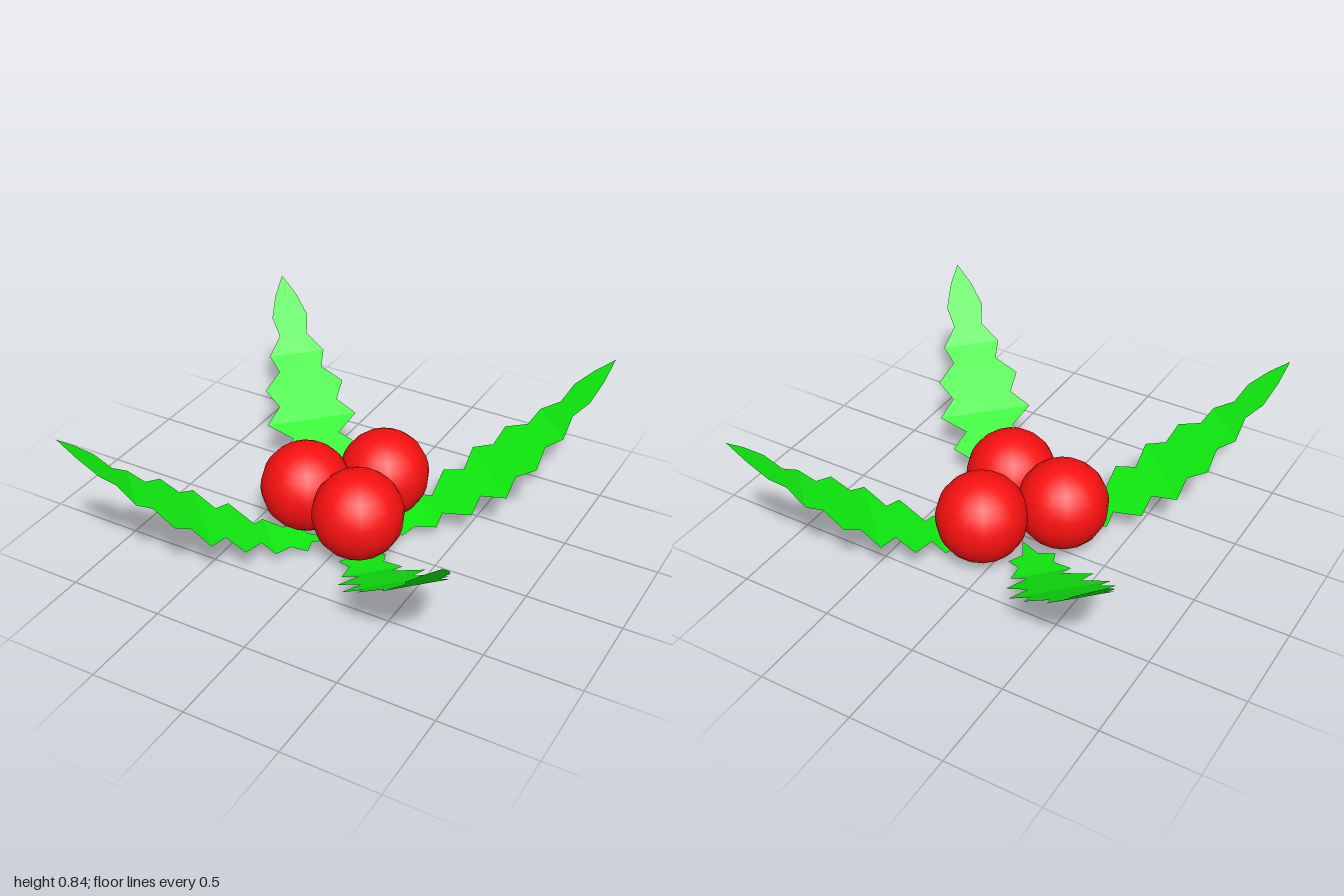
import * as THREE from 'three';

const green = new THREE.MeshStandardMaterial({ color: 0x10f010, side: THREE.DoubleSide, flatShading: true });
const red = new THREE.MeshStandardMaterial({ color: 0xf81010 });

// Half outline of a leaf: [distance from the middle, half width]
const outline = [
  [0.057, 0], [0.21, 0.04], [0.25, 0.124], [0.33, 0.09], [0.424, 0.156],
  [0.48, 0.085], [0.587, 0.22], [0.668, 0.13], [0.76, 0.251],
  [0.84, 0.163], [0.926, 0.22], [1.01, 0.12], [1.09, 0.155],
  [1.167, 0.078], [1.245, 0.1], [1.333, 0.06], [1.414, 0],
];

// Bends of the leaf: [distance from the middle, height]
const bends = [[0.057, 0], [0.424, 0.088], [0.76, 0.27], [1.09, 0.51], [1.414, 0.84]];

function heightAt(s) {
  const i = Math.max(1, bends.findIndex(([d]) => d >= s));
  const [s0, y0] = bends[i - 1], [s1, y1] = bends[i];
  return y0 + (y1 - y0) * (s - s0) / (s1 - s0);
}

// Thin serrated strip running along +x, bent upwards in flat panels
function leafGeometry() {
  const positions = [], index = [];
  outline.forEach(([s, w], i) => {
    const y = heightAt(s);
    positions.push(s, y, -w, s, y, w);
    if (i > 0) {
      const a = 2 * (i - 1);
      if (i > 1) index.push(a, a + 1, a + 2);
      if (i < outline.length - 1) index.push(a + 1, a + 3, a + 2);
    }
  });
  const geometry = new THREE.BufferGeometry();
  geometry.setAttribute('position', new THREE.Float32BufferAttribute(positions, 3));
  geometry.setIndex(index);
  geometry.computeVertexNormals();
  return geometry;
}

export function createModel() {
  const model = new THREE.Group();
  model.name = 'hollySprig';

  // Four leaves on the diagonals
  const leaf = leafGeometry();
  for (let i = 0; i < 4; i++) {
    const mesh = new THREE.Mesh(leaf, green);
    mesh.name = 'leaf' + (i + 1);
    mesh.rotation.y = Math.PI / 4 + i * Math.PI / 2;
    model.add(mesh);
  }

  // Three overlapping berries
  const berry = new THREE.SphereGeometry(0.235, 16, 16);
  berry.rotateY(Math.PI / 16);
  [[-0.23, 0.04], [0.065, -0.26], [0.125, 0.13]].forEach(([x, z], i) => {
    const mesh = new THREE.Mesh(berry, red);
    mesh.name = 'berry' + (i + 1);
    mesh.position.set(x, 0.273, z);
    model.add(mesh);
  });
  return model;
}
